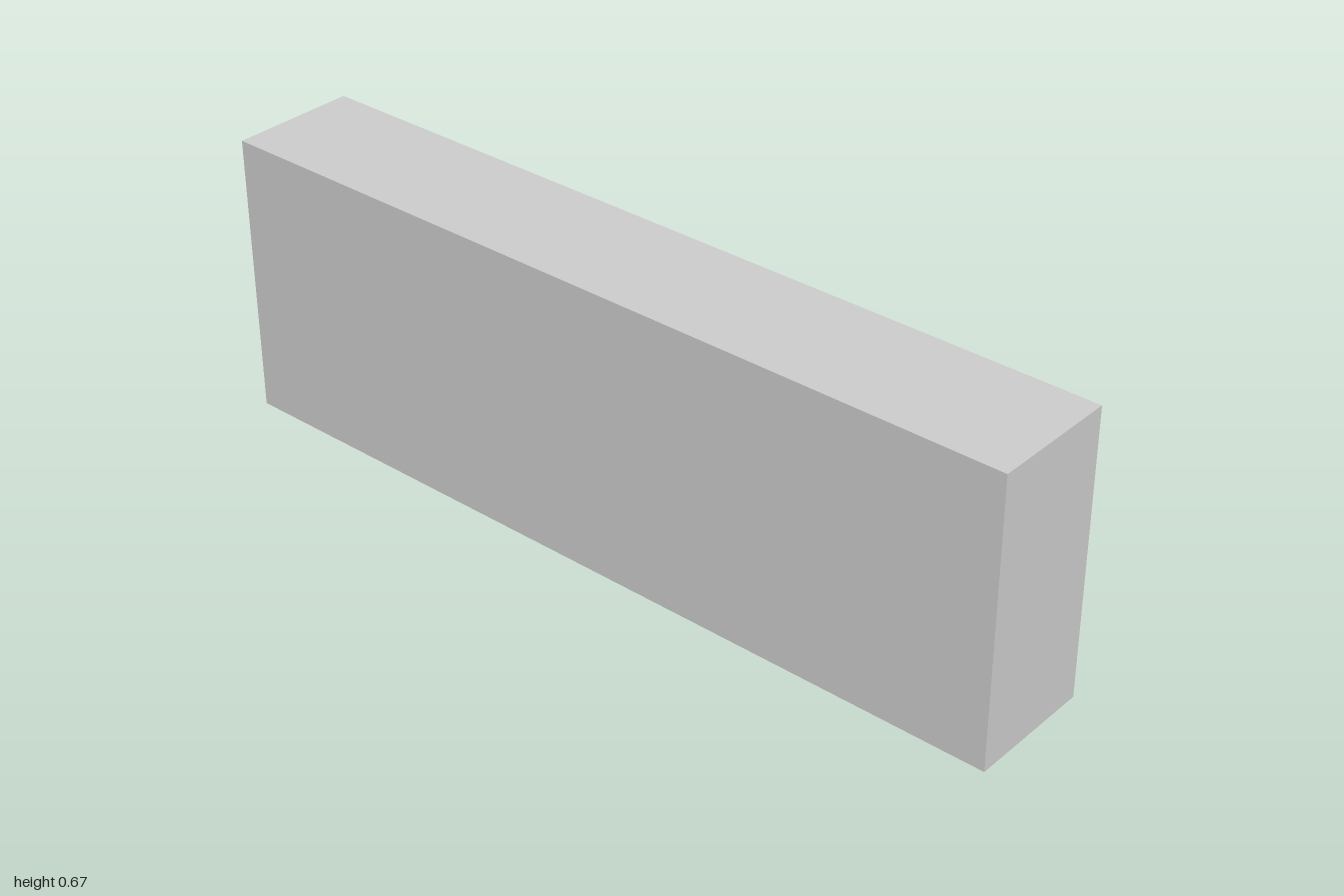
import * as THREE from 'three';

const H = 0.667; // block height

// Rectangular cross-section at x, inset from the outline
const section = (x, insetY, insetZ) => [
  [x, insetY, 1 - insetZ], [x, insetY, -1 + insetZ],
  [x, H - insetY, -1 + insetZ], [x, H - insetY, 1 - insetZ],
];

// Skin the cross-sections with flat quads and cap both ends
function loft(sections) {
  const pos = [];
  const quad = (a, b, c, d) => pos.push(...a, ...b, ...c, ...a, ...c, ...d);
  for (let s = 0; s < sections.length - 1; s++) {
    const p = sections[s], q = sections[s + 1];
    for (let i = 0; i < 4; i++) {
      const j = (i + 1) % 4;
      quad(p[i], p[j], q[j], q[i]);
    }
  }
  const first = sections[0], last = sections[sections.length - 1];
  quad(first[3], first[2], first[1], first[0]);
  quad(...last);
  const geo = new THREE.BufferGeometry();
  geo.setAttribute('position', new THREE.Float32BufferAttribute(pos, 3));
  geo.computeVertexNormals();
  return geo;
}

export function createModel() {
  const group = new THREE.Group();
  const grey = new THREE.MeshStandardMaterial({ color: 0xcccccc });
  grey.name = 'light grey';

  // Long block with a bevelled face on the +x side
  const block = new THREE.Mesh(
    loft([section(-0.273, 0, 0), section(0.026, 0, 0), section(0.06, 0.067, 0.2)]), grey);
  block.name = 'backBlock';
  group.add(block);

  // Three J-shaped hooks, their backs sunk into the bevel
  const profile = new THREE.Shape([
    [0.03, 0.016], [0.272, 0.016], [0.272, 0.152], [0.218, 0.152],
    [0.218, 0.091], [0.111, 0.091], [0.111, 0.35], [0.03, 0.35],
  ].map(([x, y]) => new THREE.Vector2(x, y)));
  const hookGeo = new THREE.ExtrudeGeometry(profile, { depth: 0.148, bevelEnabled: false });
  hookGeo.translate(0, 0, -0.074);
  ['rearHook', 'middleHook', 'frontHook'].forEach((name, i) => {
    const hook = new THREE.Mesh(hookGeo, grey);
    hook.name = name;
    hook.position.z = (i - 1) * 0.502;
    group.add(hook);
  });
  return group;
}
